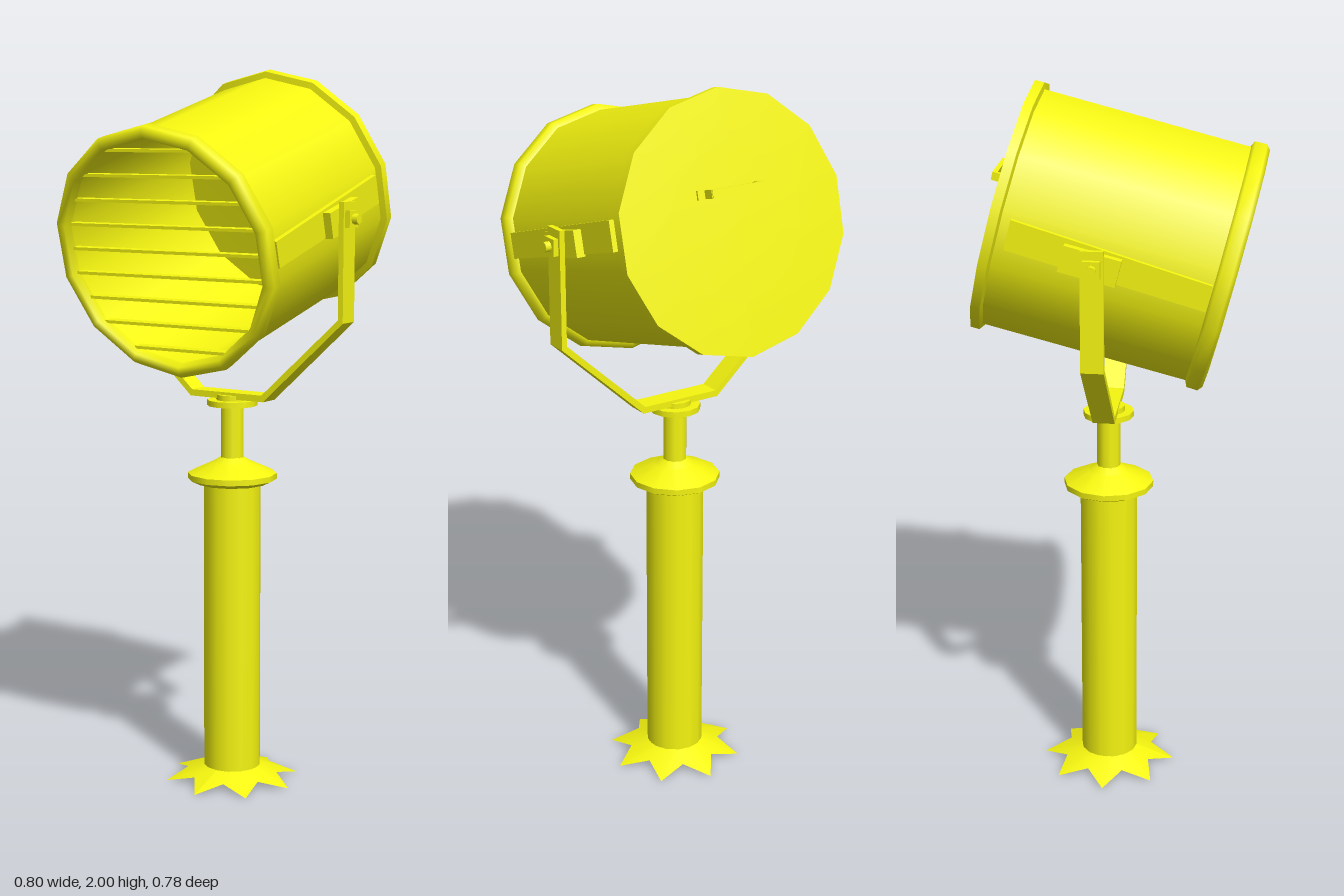
import * as THREE from 'three';

const material = new THREE.MeshStandardMaterial({ color: 0xf5f510, side: THREE.DoubleSide });
const AXIS_Z = -0.03; // z of the post and yoke

function add(parent, name, geometry, x = 0, y = 0, z = 0) {
  const mesh = new THREE.Mesh(geometry, material);
  mesh.name = name;
  mesh.position.set(x, y, z);
  parent.add(mesh);
  return mesh;
}

// Each straight run of the profile is a separate surface when sharp is set
function lathe(parent, name, points, sides, sharp = false) {
  const group = new THREE.Group();
  group.name = name;
  const v = points.map(([r, y]) => new THREE.Vector2(r, y));
  const runs = sharp ? v.slice(1).map((p, i) => [v[i], p]) : [v];
  runs.forEach((run) => add(group, name + 'Surface', new THREE.LatheGeometry(run, sides)));
  parent.add(group);
  return group;
}

function createStand() {
  const stand = new THREE.Group();
  stand.name = 'stand';
  stand.position.z = AXIS_Z;

  // Pointed skirt: every second foot vertex is pulled up the slope
  const skirt = new THREE.CylinderGeometry(0.08, 0.19, 0.04, 16, 1, true);
  const pos = skirt.attributes.position;
  for (let i = 17; i < 34; i++) {
    if ((i - 17) % 2 === 1) {
      pos.setXYZ(i, pos.getX(i) * 0.68, 0.0, pos.getZ(i) * 0.68);
    }
  }
  skirt.computeVertexNormals();
  add(stand, 'baseSkirt', skirt, 0, 0.02, 0);

  add(stand, 'post', new THREE.CylinderGeometry(0.08, 0.08, 0.83, 14, 1, true), 0, 0.45, 0);
  lathe(stand, 'collar',
    [[0.07, 0.86], [0.1, 0.86], [0.125, 0.872], [0.125, 0.888], [0.055, 0.92], [0.03, 0.935]], 12, true);
  add(stand, 'neck', new THREE.CylinderGeometry(0.033, 0.033, 0.17, 10), 0, 1.005, 0);
  add(stand, 'swivelDisc', new THREE.CylinderGeometry(0.07, 0.07, 0.016, 12), 0, 1.087, 0);
  add(stand, 'swivelBoss', new THREE.CylinderGeometry(0.045, 0.045, 0.02, 12), 0, 1.1, 0);
  return stand;
}

function createYoke() {
  const yoke = new THREE.Group();
  yoke.name = 'yoke';
  yoke.position.z = AXIS_Z;

  // Bent flat strap, drawn as outer line then inner line
  const outer = [[0.37, 1.65], [0.37, 1.33], [0.12, 1.1]];
  const inner = [[0.115, 1.118], [0.355, 1.338], [0.355, 1.65]];
  const mirror = (list) => list.map(([x, y]) => [-x, y]).reverse();
  const outline = [...outer, ...mirror(outer), ...mirror(inner), ...inner];
  const shape = new THREE.Shape(outline.map(([x, y]) => new THREE.Vector2(x, y)));
  const strap = new THREE.ExtrudeGeometry(shape, { depth: 0.06, bevelEnabled: false });
  strap.translate(0, 0, -0.03);
  add(yoke, 'yokeStrap', strap);

  for (const side of [-1, 1]) {
    const knob = new THREE.CylinderGeometry(0.014, 0.014, 0.07, 8).rotateZ(Math.PI / 2);
    add(yoke, 'pivotPin', knob, side * 0.365, 1.605, 0);
    add(yoke, 'pivotNut', new THREE.BoxGeometry(0.016, 0.045, 0.045), side * 0.376, 1.605, 0);
  }
  return yoke;
}

function createHead() {
  const head = new THREE.Group();
  head.name = 'lampHead';
  head.position.y = 1.592;
  head.rotation.x = THREE.MathUtils.degToRad(14.4);

  // Hollow drum, rolled rims and back plate; the turning axis runs to the front
  const drum = new THREE.Group();
  drum.name = 'drum';
  drum.rotation.x = Math.PI / 2;
  head.add(drum);
  lathe(drum, 'drumWall', [[0.325, -0.31], [0.325, 0.31]], 14);
  lathe(drum, 'frontRim',
    [[0.325, 0.272], [0.342, 0.28], [0.343, 0.31], [0.33, 0.321], [0.312, 0.318], [0.305, 0.295], [0.325, 0.272]], 14);
  lathe(drum, 'backRim', [[0.325, -0.285], [0.342, -0.29], [0.342, -0.315]], 14, true);
  lathe(drum, 'backPlate', [[0, -0.322], [0.2, -0.321], [0.342, -0.315]], 14);

  // Shutter slats across the mouth
  for (let i = -4; i <= 4; i++) {
    const y = i * 0.068;
    const width = 2 * Math.sqrt(0.31 ** 2 - y ** 2);
    const slat = add(head, 'slat', new THREE.BoxGeometry(width, 0.008, 0.035), 0, y, 0.285);
    slat.rotation.x = -0.2;
  }

  // Side rails and pivot brackets
  for (const side of [-1, 1]) {
    const rail = new THREE.Shape();
    rail.moveTo(-0.26, -0.02);
    rail.lineTo(0.27, -0.035);
    rail.lineTo(0.27, 0.035);
    rail.lineTo(-0.26, 0.06);
    const plate = new THREE.ExtrudeGeometry(rail, { depth: 0.014, bevelEnabled: false });
    plate.rotateY(-Math.PI / 2);
    plate.translate(0.007, 0, 0);
    add(head, 'sideRail', plate, side * 0.325, 0, 0);
    add(head, 'pivotBracket', new THREE.BoxGeometry(0.025, 0.07, 0.15), side * 0.342, 0.005, -0.04);
  }

  // Grab handle on the back plate
  const handle = new THREE.Group();
  handle.name = 'backHandle';
  handle.position.set(0.005, 0.085, -0.32);
  add(handle, 'handleBar', new THREE.BoxGeometry(0.16, 0.022, 0.012), 0, 0, -0.034);
  for (const side of [-1, 1]) {
    add(handle, 'handleLeg', new THREE.BoxGeometry(0.014, 0.022, 0.04), side * 0.075, 0, -0.018);
    add(handle, 'handleFoot', new THREE.BoxGeometry(0.03, 0.025, 0.008), side * 0.088, 0, -0.003);
  }
  head.add(handle);
  return head;
}

export function createModel() {
  const model = new THREE.Group();
  model.name = 'searchlight';
  model.add(createStand(), createYoke(), createHead());
  return model;
}
